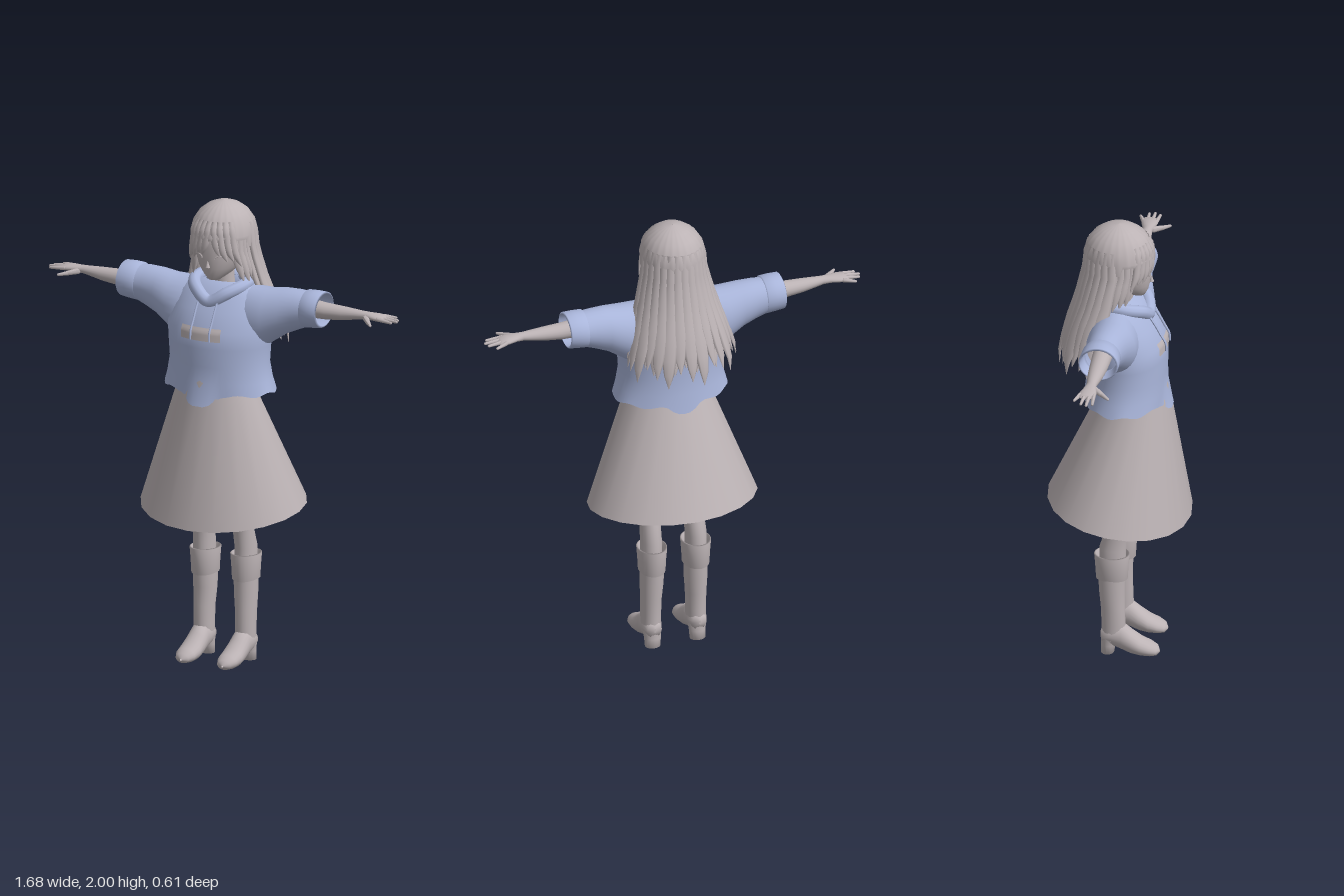
import * as THREE from 'three';
import { mergeGeometries } from 'three/addons/utils/BufferGeometryUtils.js';

const V = (x, y, z) => new THREE.Vector3(x, y, z);
const D = THREE.DoubleSide;

// Skin over stacked elliptical rings [y, cx, cz, rx, rz, turn], bottom to top
function loft(rings, n = 20, shape) {
  const pos = [], idx = [];
  rings.forEach(([y, cx, cz, rx, rz, turn = 0], i) => {
    for (let j = 0; j < n; j++) {
      const a = j / n * Math.PI * 2;
      const u = Math.cos(a) * rx, w = Math.sin(a) * rz;
      const p = V(cx + u * Math.cos(turn) - w * Math.sin(turn), y, cz + u * Math.sin(turn) + w * Math.cos(turn));
      if (shape) shape(p, i, a);
      pos.push(p.x, p.y, p.z);
      if (i < rings.length - 1) {
        const k = (j + 1) % n, b = i * n, t = b + n;
        idx.push(b + j, t + j, b + k, b + k, t + j, t + k);
      }
    }
  });
  const g = new THREE.BufferGeometry();
  g.setAttribute('position', new THREE.Float32BufferAttribute(pos, 3));
  g.setIndex(idx);
  g.computeVertexNormals();
  return g;
}

// Rings [x, height, z, ry, rz] along +x, or [z, x, height, rx, ry] along +z
const loftX = (r, n) => loft(r.map(([x, h, z, ry, rz]) => [x, -h, z, ry, rz]), n).rotateZ(-Math.PI / 2);
const loftZ = (r, n) => loft(r.map(([z, x, h, rx, ry]) => [z, x, -h, rx, ry]), n).rotateX(Math.PI / 2);

function mirrored(geo) {
  const g = geo.clone().scale(-1, 1, 1), ix = g.index.array;
  for (let i = 0; i < ix.length; i += 3) [ix[i], ix[i + 1]] = [ix[i + 1], ix[i]];
  g.computeVertexNormals();
  return g;
}

// Linear lookup in a table whose first column is the key
function sample(table, y) {
  let i = 0;
  while (i < table.length - 2 && y > table[i + 1][0]) i++;
  const a = table[i], b = table[i + 1];
  const t = THREE.MathUtils.clamp((y - a[0]) / (b[0] - a[0]), 0, 1);
  return a.map((v, k) => v + (b[k] - v) * t);
}

const bodyRings = [
  [1.2, 0, 0.03, 0.25, 0.175], [1.25, 0, 0.033, 0.235, 0.172], [1.32, 0, 0.035, 0.222, 0.168],
  [1.4, 0, 0.035, 0.228, 0.17], [1.47, 0, 0.03, 0.235, 0.17], [1.55, 0, 0.015, 0.225, 0.142],
  [1.61, 0, 0.005, 0.2, 0.115], [1.645, 0, 0, 0.16, 0.09], [1.66, 0, 0, 0.1, 0.06]];
const bodyFront = (x, y) => {
  const [, , cz, rx, rz] = sample(bodyRings, y);
  return cz + rz * Math.sqrt(1 - (x / rx) ** 2);
};

// Hair outline by height: [y, rx, rz, cz]
const hairOutline = [
  [1.32, 0.25, 0.16, -0.088], [1.42, 0.245, 0.162, -0.085], [1.55, 0.205, 0.155, -0.055],
  [1.66, 0.168, 0.15, -0.025], [1.8, 0.133, 0.143, 0], [1.9, 0.125, 0.135, 0], [1.96, 0.09, 0.1, 0]];

// Tapered flat lock; angle 0 is the back, PI the front, sweep drifts toward the tip
function lock(angle, top, tip, width, { inset = 0, sweep = 0, thick = 0.012 } = {}) {
  const rings = [], steps = 9;
  for (let i = 0; i <= steps; i++) {
    const t = 1 - i / steps, y = top + (tip - top) * t;
    const [, rx, rz, cz] = sample(hairOutline, y);
    const a = angle + sweep * t * t;
    const taper = t > 0.7 ? Math.pow((1 - t) / 0.3, 0.7) : 1;
    const grow = rx / 0.15;
    rings.push([y, Math.sin(a) * (rx - inset), cz - Math.cos(a) * (rz - inset),
      width * grow * taper + 0.001, thick * taper + 0.001, a]);
  }
  return loft(rings, 8);
}

function rod(a, b, ra, rb) {
  const d = b.clone().sub(a);
  const g = new THREE.CapsuleGeometry(1, 1, 3, 8);
  const p = g.attributes.position;
  for (let i = 0; i < p.count; i++) {
    const up = p.getY(i) > 0, r = up ? rb : ra;
    const y = up ? d.length() + (p.getY(i) - 0.5) * r : (p.getY(i) + 0.5) * r;
    p.setXYZ(i, p.getX(i) * r, y, p.getZ(i) * r);
  }
  g.computeVertexNormals();
  g.applyQuaternion(new THREE.Quaternion().setFromUnitVectors(V(0, 1, 0), d.normalize()));
  return g.translate(a.x, a.y, a.z);
}

export function createModel() {
  const model = new THREE.Group();
  const grey = new THREE.MeshStandardMaterial({ name: 'warm grey', color: 0xbcb3b5, side: D });
  const blue = new THREE.MeshStandardMaterial({ name: 'soft blue', color: 0xa9b5da, side: D });
  const add = (name, geo, mat = grey) => {
    const m = new THREE.Mesh(geo, mat);
    m.name = name;
    model.add(m);
  };
  const pair = (name, geo, mat) => {
    add('left ' + name, geo, mat);
    add('right ' + name, mirrored(geo), mat);
  };

  // Head and neck
  add('head', loft([[1.672, 0, 0.085, 0.004, 0.006], [1.676, 0, 0.08, 0.026, 0.03], [1.7, 0, 0.055, 0.056, 0.068],
    [1.73, 0, 0.03, 0.085, 0.1], [1.77, 0, 0.013, 0.105, 0.122], [1.82, 0, 0, 0.117, 0.136],
    [1.88, 0, 0, 0.115, 0.13], [1.95, 0, 0, 0.07, 0.08]], 28));
  add('nose', new THREE.ConeGeometry(0.01, 0.03, 8).translate(0, 1.752, 0.138));
  add('neck', loft([[1.5, 0, -0.01, 0.07, 0.06], [1.58, 0, 0, 0.05, 0.046], [1.74, 0, 0.01, 0.045, 0.048]], 16));
  pair('eyelash', new THREE.TorusGeometry(0.024, 0.003, 5, 12, Math.PI).scale(1, 0.6, 1)
    .rotateY(0.4).translate(0.052, 1.775, 0.124));

  // Hair: ridged cap, fringe, cheek locks and two layers down the back
  add('hair cap', loft([[1.82, 0, 0, 0.134, 0.145], [1.87, 0, 0, 0.136, 0.147], [1.915, 0, 0, 0.125, 0.134],
    [1.955, 0, 0, 0.1, 0.107], [1.982, 0, 0, 0.065, 0.07], [1.995, 0, 0, 0.032, 0.034], [2, 0, 0, 0.001, 0.001]], 72,
  (p, i, a) => {
    const s = 1 + 0.022 * Math.abs(Math.sin(a * 12));
    p.x *= s; p.z *= s;
    if (i === 0 && p.z > 0.03) p.y += 0.035;
  }));
  const locks = [];
  for (let i = 0; i < 15; i++) {
    const a = (i - 7) * 0.215;
    locks.push(lock(a, 1.92, 1.335 + 0.035 * (i % 3) + 0.03 * Math.abs(a), 0.024));
    locks.push(lock(a + 0.1, 1.9, 1.4 + 0.03 * (i % 2), 0.026, { inset: 0.016 }));
  }
  add('back hair', mergeGeometries(locks));
  const fringe = [];
  for (let i = 0; i < 9; i++) {
    const off = (i - 4) * 0.2;
    const side = i < 4 ? -1 : 1;
    fringe.push(lock(Math.PI + off, 1.935, 1.79 - 0.012 * Math.abs(i - 4) + 0.01 * (i % 2), 0.019, { sweep: side * 0.2 }));
  }
  add('fringe', mergeGeometries(fringe));
  const cheek = [0, 1, 2, 3].map(i => lock(Math.PI - 0.95 - i * 0.2, 1.91, 1.67 - 0.008 * i, 0.02, { inset: 0.02, sweep: -0.05 }));
  pair('cheek hair', mergeGeometries(cheek));

  // Hooded top with a dipped hem
  add('top body', loft(bodyRings, 64, (p, i, a) => {
    if (i > 0) return;
    const dip = Math.exp(-((p.x / 0.065) ** 4));
    if (p.z > 0) { p.y -= 0.052 * dip; p.z += 0.024 * dip; }
    else { p.y -= 0.03 * dip; p.z -= 0.006 * dip; }
    p.y += 0.006 * Math.sin(a * 9);
  }), blue);
  pair('sleeve', loftX([[0.08, 1.51, 0.005, 0.14, 0.09], [0.16, 1.505, 0.005, 0.145, 0.11], [0.23, 1.53, 0.005, 0.12, 0.105],
    [0.3, 1.558, 0, 0.1, 0.088], [0.36, 1.572, -0.003, 0.087, 0.08], [0.41, 1.58, -0.005, 0.075, 0.077]], 28), blue);
  pair('sleeve cuff', loftX([[0.395, 1.58, -0.005, 0.07, 0.07], [0.4, 1.582, -0.005, 0.081, 0.083],
    [0.44, 1.585, -0.005, 0.08, 0.084], [0.478, 1.587, -0.005, 0.076, 0.085], [0.482, 1.587, -0.005, 0.068, 0.077],
    [0.42, 1.585, -0.005, 0.066, 0.07]], 28), blue);
  const collar = [[0, 1.585, 0.125], [0.07, 1.625, 0.105], [0.115, 1.65, 0.04], [0.1, 1.655, -0.05]].map(p => V(...p));
  const back = collar.slice(1).reverse().map(p => V(-p.x, p.y, p.z));
  add('hood collar', new THREE.TubeGeometry(new THREE.CatmullRomCurve3(
    [...collar, V(0, 1.64, -0.095), ...back], true), 64, 0.028, 10, true), blue);
  add('hood', new THREE.SphereGeometry(1, 24, 16).scale(0.13, 0.09, 0.045).translate(0, 1.585, -0.09), blue);
  const cord = [1.59, 1.55, 1.51, 1.47, 1.435].map(y => V(0.045, y, bodyFront(0.045, y) + 0.008));
  pair('drawstring', new THREE.TubeGeometry(new THREE.CatmullRomCurve3(cord), 16, 0.005, 6), blue);

  // Chest panel curved to the cloth
  const panel = new THREE.PlaneGeometry(0.19, 0.055, 16, 6).translate(-0.005, 1.462, 0);
  const pp = panel.attributes.position;
  for (let i = 0; i < pp.count; i++) pp.setZ(i, bodyFront(pp.getX(i), pp.getY(i)) + 0.004);
  panel.computeVertexNormals();
  add('chest panel', panel);

  // Skirt, hem higher at the back
  add('skirt', loft([[0.69, 0, 0.003, 0.365, 0.303], [1.19, 0, 0.067, 0.177, 0.15], [1.3, 0, 0.08, 0.135, 0.118]], 20,
    (p, i, a) => { if (i === 0) p.y -= 0.045 * Math.sin(a) + 0.015 * Math.sin(a) ** 2; }));

  // Arms, palms and fingers
  pair('arm', loftX([[0.15, 1.59, 0, 0.05, 0.05], [0.4, 1.588, 0, 0.04, 0.042], [0.5, 1.585, 0, 0.035, 0.038],
    [0.58, 1.588, 0, 0.029, 0.032], [0.67, 1.594, 0, 0.018, 0.021], [0.7, 1.595, 0, 0.016, 0.026],
    [0.74, 1.594, -0.002, 0.015, 0.036], [0.77, 1.592, -0.004, 0.012, 0.034], [0.78, 1.592, -0.004, 0.002, 0.025]], 18));
  const fingers = [[-0.032, -0.05, 0.8], [-0.013, -0.018, 0.826], [0.006, 0.006, 0.834], [0.024, 0.03, 0.82]]
    .map(([z0, z1, x]) => rod(V(0.755, 1.593, z0), V(x, 1.588, z1), 0.01, 0.006));
  fingers.push(rod(V(0.695, 1.588, 0.02), V(0.725, 1.583, 0.055), 0.014, 0.01),
    rod(V(0.725, 1.583, 0.055), V(0.752, 1.58, 0.084), 0.01, 0.006));
  pair('fingers', mergeGeometries(fingers));

  // Legs and boots
  pair('leg', loft([[0.4, 0.1, -0.01, 0.045, 0.055], [0.5, 0.1, -0.01, 0.045, 0.057], [0.58, 0.097, 0.008, 0.043, 0.05],
    [0.65, 0.095, 0.022, 0.047, 0.052], [0.72, 0.094, 0.033, 0.055, 0.058], [0.85, 0.09, 0.05, 0.072, 0.075],
    [1.15, 0.08, 0.065, 0.078, 0.09]], 20));
  pair('boot shaft', loft([[0.07, 0.1, -0.01, 0.042, 0.048], [0.14, 0.1, -0.007, 0.043, 0.051],
    [0.22, 0.1, -0.01, 0.045, 0.051], [0.3, 0.098, -0.014, 0.05, 0.055], [0.42, 0.098, -0.014, 0.051, 0.06]], 20));
  pair('boot cuff', loft([[0.36, 0.098, -0.014, 0.05, 0.058], [0.358, 0.098, -0.014, 0.057, 0.067],
    [0.42, 0.098, -0.014, 0.06, 0.071], [0.47, 0.098, -0.014, 0.064, 0.075], [0.472, 0.098, -0.014, 0.058, 0.069],
    [0.43, 0.098, -0.014, 0.048, 0.058]], 24, (p, i) => { if (i < 2) p.y -= 0.12 * Math.abs(p.z + 0.014) - 0.006; }));
  pair('boot foot', loftZ([[-0.062, 0.1, 0.085, 0.004, 0.01], [-0.055, 0.1, 0.085, 0.032, 0.035], [-0.02, 0.1, 0.09, 0.044, 0.05],
    [0.03, 0.1, 0.082, 0.045, 0.062], [0.07, 0.1, 0.058, 0.047, 0.053], [0.11, 0.1, 0.041, 0.05, 0.04],
    [0.15, 0.1, 0.032, 0.046, 0.031], [0.178, 0.1, 0.026, 0.032, 0.021], [0.19, 0.1, 0.022, 0.004, 0.004]], 20));
  pair('boot heel', loft([[0, 0.1, -0.032, 0.001, 0.001], [0.001, 0.1, -0.032, 0.034, 0.028], [0.04, 0.1, -0.028, 0.036, 0.031],
    [0.08, 0.1, -0.02, 0.041, 0.04]], 16));
  return model;
}
